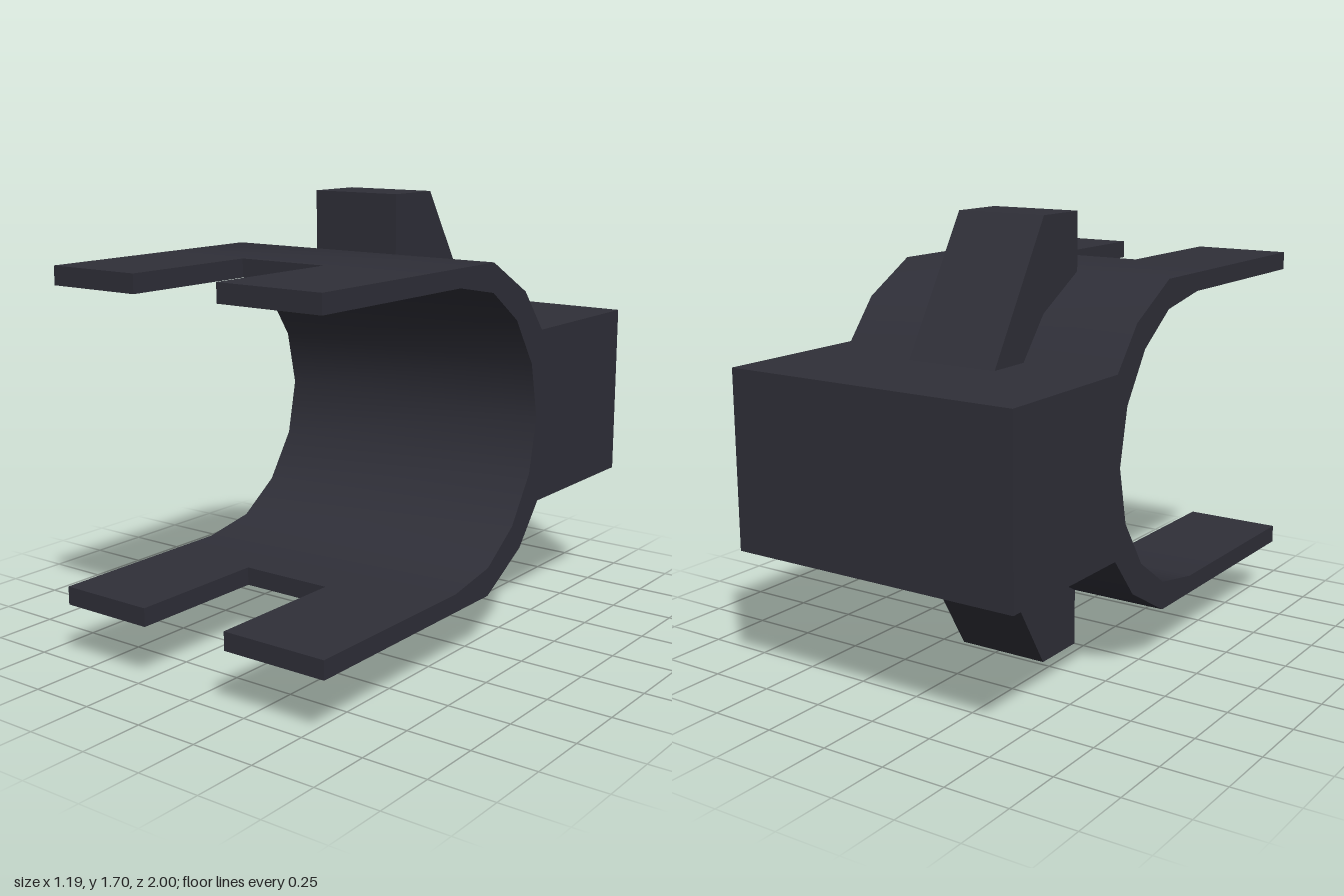
import * as THREE from 'three';
import { toCreasedNormals } from 'three/addons/utils/BufferGeometryUtils.js';

const MID = 0.852; // height of the horizontal mirror plane
const HALF = 0.597; // half width of the clip
const SLOT = [-0.208, 0.167]; // x range of the slots and ribs
const SLOT_Z = 0.44; // where the slots begin

const flip = ([z, y]) => [z, 2 * MID - y];

// Extrudes a side profile of [z, y] points across x0..x1
function extrudeSide(points, x0, x1) {
  const shape = new THREE.Shape(points.map(([z, y]) => new THREE.Vector2(-z, y)));
  const geo = new THREE.ExtrudeGeometry(shape, { depth: x1 - x0, bevelEnabled: false });
  geo.rotateY(Math.PI / 2);
  geo.translate(x0, 0, 0);
  return toCreasedNormals(geo, THREE.MathUtils.degToRad(35));
}

export function createModel() {
  const group = new THREE.Group();
  const plastic = new THREE.MeshStandardMaterial({ color: 0x2f2f38 });
  plastic.name = 'dark plastic';

  const add = (name, points, x0, x1) => {
    const mesh = new THREE.Mesh(extrudeSide(points, x0, x1), plastic);
    mesh.name = name;
    group.add(mesh);
  };

  // Curved clip and rear block share one profile
  const outer = [[-1, 1.19], [-0.36, 1.19], [-0.23, 1.35], [0, 1.48], [SLOT_Z, 1.48]];
  const inner = [[SLOT_Z, 1.41], [0.22, 1.41], [0, 1.37], [-0.17, 1.25], [-0.29, 1.067]];
  const upper = [...outer, ...inner];
  const lower = upper.map(flip).reverse();
  add('clipBody', [...upper, [-0.335, MID], ...lower], -HALF, HALF);

  // Prongs beside the slots, and the ribs on the outside of the curve
  const prong = [[SLOT_Z, 1.41], [1, 1.41], [1, 1.48], [SLOT_Z, 1.48]];
  const rib = [[0, 1.48], [0, 1.704], [-0.228, 1.704], [-0.54, 1.19], [-0.36, 1.19], [-0.23, 1.35]];
  for (const [side, map] of [['upper', (p) => p], ['lower', flip]]) {
    add(side + 'RightProng', prong.map(map), -HALF, SLOT[0]);
    add(side + 'LeftProng', prong.map(map), SLOT[1], HALF);
    add(side + 'Rib', rib.map(map), SLOT[0], SLOT[1]);
  }
  return group;
}
